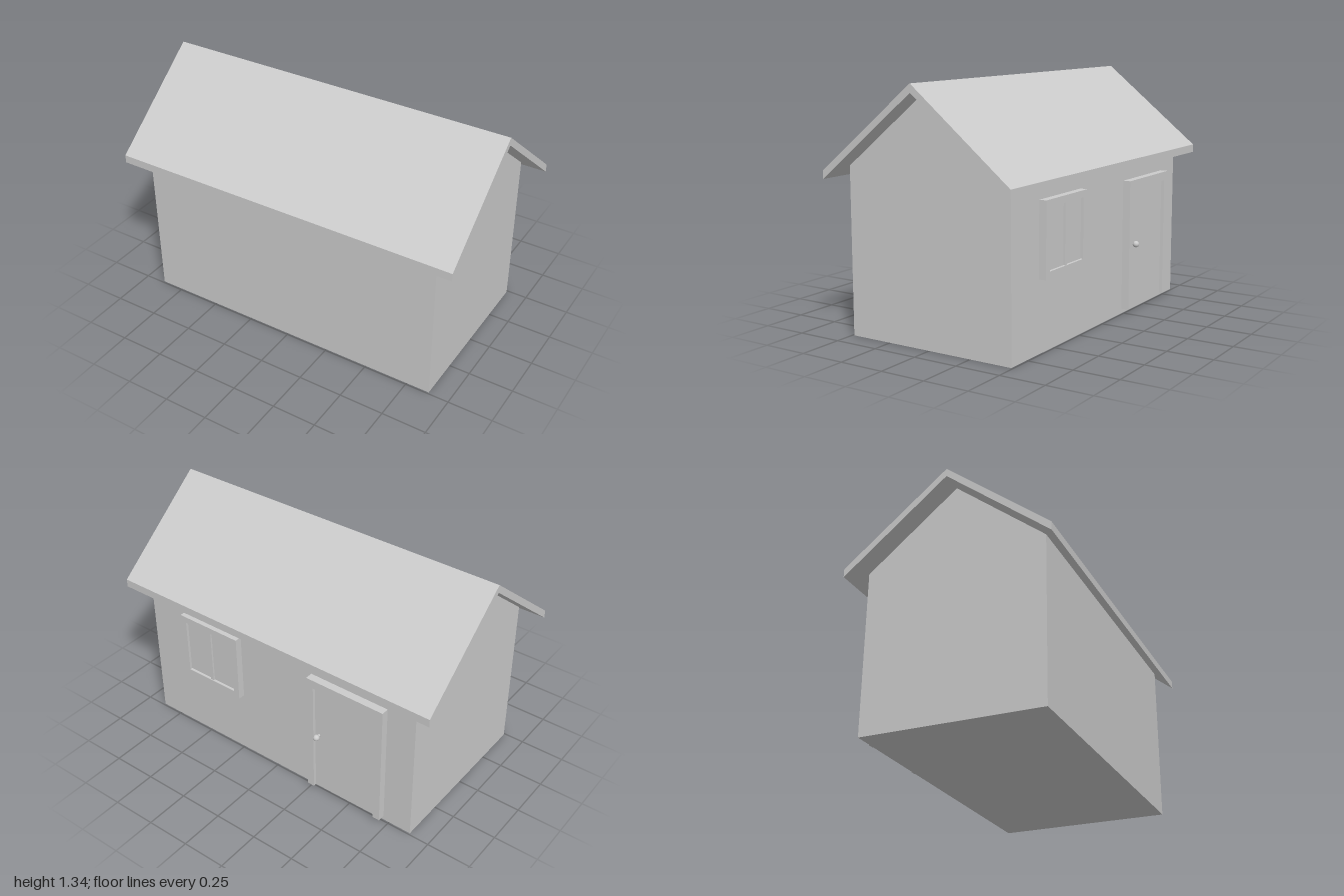
import * as THREE from 'three';

const mat = new THREE.MeshStandardMaterial({ color: 0xcccccc, flatShading: true });
const smooth = new THREE.MeshStandardMaterial({ color: 0xcccccc });

function add(parent, name, geometry, x = 0, y = 0, z = 0, material = mat) {
  const mesh = new THREE.Mesh(geometry, material);
  mesh.name = name;
  mesh.position.set(x, y, z);
  parent.add(mesh);
  return mesh;
}

const shapeOf = (points) => new THREE.Shape(points.map(([a, b]) => new THREE.Vector2(a, b)));
const extrude = (shape, depth) => new THREE.ExtrudeGeometry(shape, { depth, bevelEnabled: false });

// Extrudes a gable outline (z, y) along x, centred on x = 0
function gable(points, length) {
  return extrude(shapeOf(points), length).translate(0, 0, -length / 2).rotateY(Math.PI / 2);
}

export function createModel() {
  const house = new THREE.Group();
  house.name = 'house';
  const wallZ = -0.49;

  // Walls with gable ends, closed at the bottom
  add(house, 'walls', gable(
    [[-0.49, 0], [0.49, 0], [0.49, 0.895], [0, 1.291], [-0.49, 0.895]], 1.765));

  // Roof with overhanging eaves, cut vertically
  add(house, 'roof', gable(
    [[-0.565, 0.835], [0, 1.291], [0.565, 0.835], [0.565, 0.88], [0, 1.335], [-0.565, 0.88]], 2));

  // Window on the back wall
  const windowGroup = new THREE.Group();
  windowGroup.name = 'window';
  windowGroup.position.set(0.435, 0.577, wallZ);
  house.add(windowGroup);
  const w = 0.2, h = 0.197, rim = 0.037;
  const frame = shapeOf([[-w, -h], [w, -h], [w, h], [-w, h]]);
  const a = w - rim, b = h - rim;
  frame.holes.push(shapeOf([[-a, -b], [-a, b], [a, b], [a, -b]]));
  add(windowGroup, 'windowFrame', extrude(frame, 0.045), 0, 0, -0.04);
  add(windowGroup, 'windowPane', new THREE.BoxGeometry(2 * a, 2 * b, 0.025), 0, 0, -0.0125);
  add(windowGroup, 'windowMullion', new THREE.BoxGeometry(0.02, 2 * b, 0.035), 0, 0, -0.0175);

  // Door on the back wall: frame open at the bottom, recessed panel
  const door = new THREE.Group();
  door.name = 'door';
  door.position.set(-0.478, 0.027, wallZ);
  house.add(door);
  const dw = 0.237, dh = 0.725, post = 0.042;
  add(door, 'doorFrame', extrude(shapeOf([
    [-dw, 0], [-dw + post, 0], [-dw + post, dh - 0.05], [dw - post, dh - 0.05],
    [dw - post, 0], [dw, 0], [dw, dh], [-dw, dh]]), 0.048), 0, 0, -0.043);
  add(door, 'doorPanel', new THREE.BoxGeometry(2 * (dw - post), dh - 0.05, 0.025),
    0, (dh - 0.05) / 2, -0.0125);

  // Door knob on a short stem
  add(door, 'knobStem', new THREE.CylinderGeometry(0.008, 0.008, 0.03, 16).rotateX(Math.PI / 2),
    0.17, 0.363, -0.037, smooth);
  add(door, 'knob', new THREE.SphereGeometry(0.018, 24, 16), 0.17, 0.363, -0.05, smooth);

  return house;
}
